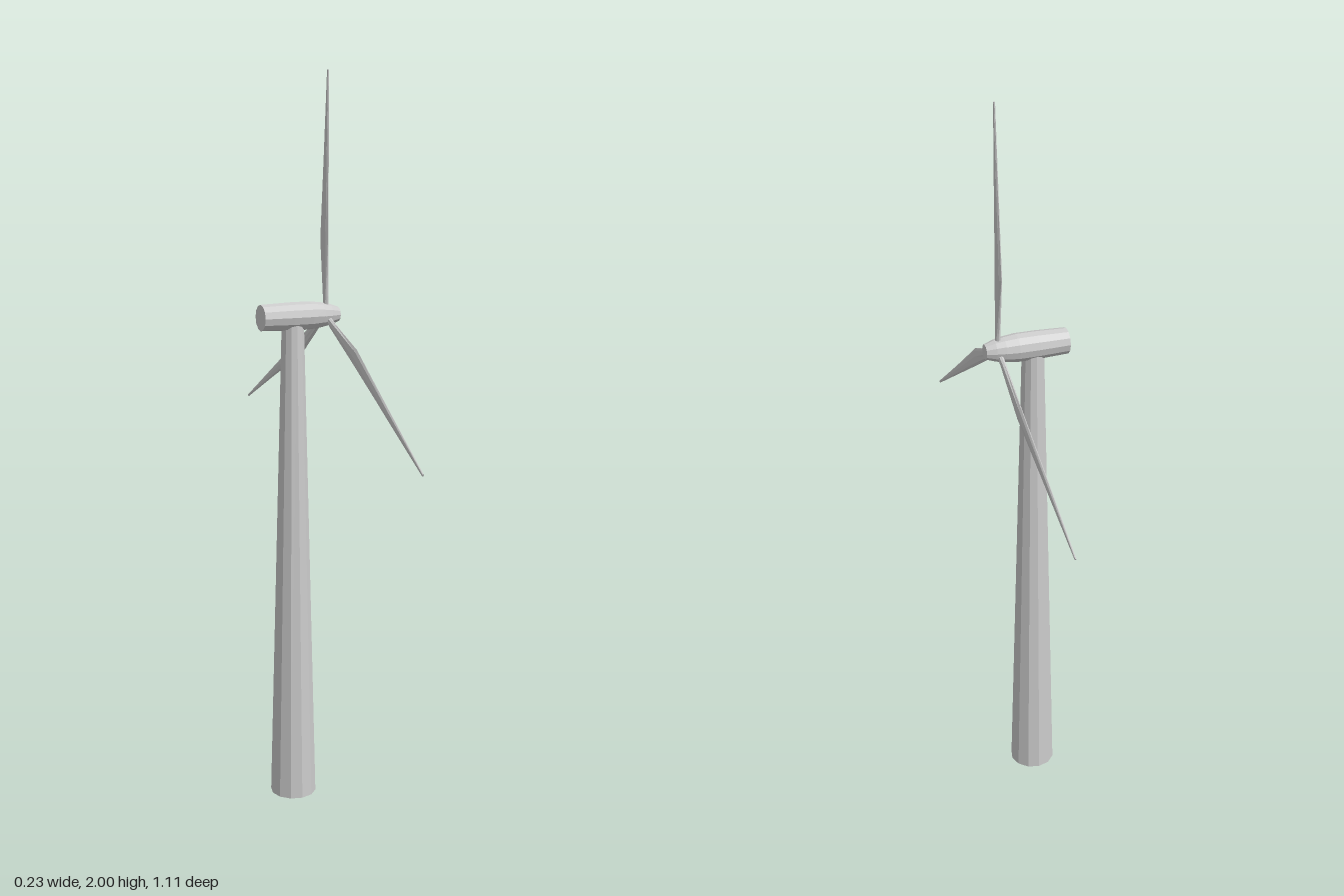
import * as THREE from 'three';

const SIDES = 12;
const AXIS_Y = 1.364, AXIS_Z = 0.004, ROTOR_X = 0.075, TOWER_X = -0.022;

const material = new THREE.MeshStandardMaterial({ color: 0xcccccc, flatShading: true });

function addMesh(parent, name, geometry) {
  const mesh = new THREE.Mesh(geometry, material);
  mesh.name = name;
  parent.add(mesh);
  return mesh;
}

// Solid of revolution about x; profile is [x, radius] from back to front
function turnedAlongX(profile) {
  const points = profile.map(([x, r]) => new THREE.Vector2(r, x));
  return new THREE.LatheGeometry(points, SIDES).rotateZ(-Math.PI / 2);
}

// Blade growing along +y: lens sections [height, trailing z, leading z, thickness]
function bladeGeometry() {
  const sections = [
    [0.015, -0.009, 0.009, 0.016],
    [0.05, -0.012, 0.011, 0.014],
    [0.2, -0.036, 0.01, 0.012],
    [0.42, -0.018, 0.007, 0.009],
    [0.637, -0.003, 0.004, 0.005],
  ];
  const n = 8, positions = [], index = [];
  for (const [y, back, front, thickness] of sections) {
    for (let i = 0; i < n; i++) {
      const a = (i / n) * Math.PI * 2;
      positions.push(Math.sin(a) * thickness / 2, y, (back + front) / 2 + Math.cos(a) * (front - back) / 2);
    }
  }
  for (let s = 0; s < sections.length - 1; s++) {
    for (let i = 0; i < n; i++) {
      const a = s * n + i, b = s * n + (i + 1) % n;
      index.push(a, b, b + n, a, b + n, a + n);
    }
  }
  // End caps
  const top = (sections.length - 1) * n;
  for (let i = 1; i < n - 1; i++) {
    index.push(0, i + 1, i, top, top + i, top + i + 1);
  }
  const geometry = new THREE.BufferGeometry();
  geometry.setAttribute('position', new THREE.Float32BufferAttribute(positions, 3));
  geometry.setIndex(index);
  geometry.computeVertexNormals();
  return geometry;
}

export function createModel() {
  const model = new THREE.Group();
  model.name = 'windTurbine';

  // Tapered tower
  const height = 1.345;
  const tower = addMesh(model, 'tower', new THREE.CylinderGeometry(0.03, 0.064, height, SIDES));
  tower.position.set(TOWER_X, height / 2, AXIS_Z);

  // Generator housing
  const nacelle = addMesh(model, 'nacelle', turnedAlongX([
    [-0.115, 0], [-0.115, 0.035], [-0.03, 0.038], [0.025, 0.038], [0.06, 0.034], [0.06, 0],
  ]));
  nacelle.position.set(0, AXIS_Y, AXIS_Z);

  // Rotor: hub and three blades
  const rotor = new THREE.Group();
  rotor.name = 'rotor';
  rotor.position.set(ROTOR_X, AXIS_Y, AXIS_Z);
  rotor.rotation.x = 0.012;
  model.add(rotor);
  addMesh(rotor, 'hub', turnedAlongX([
    [-0.015, 0], [-0.015, 0.034], [0.01, 0.029], [0.036, 0.02], [0.036, 0],
  ]));
  const blade = bladeGeometry();
  for (let i = 0; i < 3; i++) {
    addMesh(rotor, 'blade' + (i + 1), blade).rotation.x = (i * Math.PI * 2) / 3;
  }

  return model;
}
